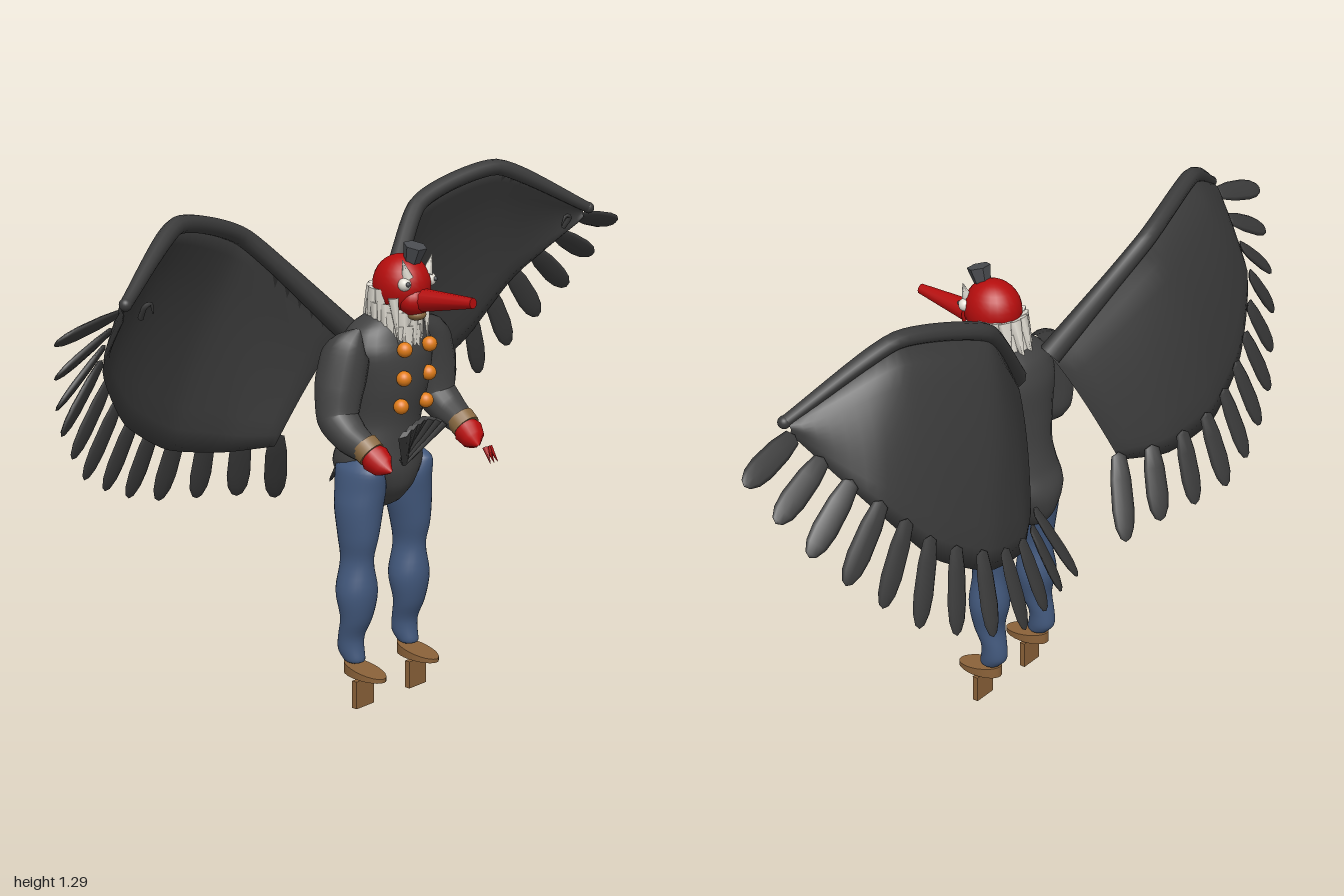
import * as THREE from 'three';

const V = (x, y, z) => new THREE.Vector3(x, y, z);
const mat = (name, color, side = THREE.FrontSide) => {
  const m = new THREE.MeshStandardMaterial({ color, side });
  m.name = name;
  return m;
};

// Closed surface through a list of vertex loops
function loft(rings, flip) {
  const n = rings[0].length, pos = [], idx = [];
  rings.forEach(r => r.forEach(p => pos.push(p.x, p.y, p.z)));
  for (let i = 0; i < rings.length - 1; i++) for (let j = 0; j < n; j++) {
    const a = i * n + j, b = i * n + (j + 1) % n, c = a + n, d = b + n;
    if (flip) idx.push(a, b, c, b, d, c); else idx.push(a, c, b, b, c, d);
  }
  const g = new THREE.BufferGeometry();
  g.setAttribute('position', new THREE.Float32BufferAttribute(pos, 3));
  g.setIndex(idx);
  g.computeVertexNormals();
  return g;
}

// Upright smooth body from sections [y, centre x, centre z, radius x, radius z]
function bodyShape(sections) {
  const mid = new THREE.CatmullRomCurve3(sections.map(s => V(s[1], s[0], s[2])));
  const rad = new THREE.CatmullRomCurve3(sections.map(s => V(s[3], 0, s[4])));
  const rings = [];
  for (let i = 0; i <= 48; i++) {
    const c = mid.getPoint(i / 48), r = rad.getPoint(i / 48), ring = [];
    for (let j = 0; j < 28; j++) {
      const a = j / 28 * Math.PI * 2;
      ring.push(V(c.x + Math.max(r.x, 0.001) * Math.cos(a), c.y, c.z + Math.max(r.z, 0.001) * Math.sin(a)));
    }
    rings.push(ring);
  }
  return loft(rings);
}

// Tube whose radius follows a list of values
function taperTube(curve, radii, seg = 32, sides = 16) {
  const g = new THREE.TubeGeometry(curve, seg, 1, sides);
  const p = g.attributes.position, v = V();
  for (let i = 0; i <= seg; i++) {
    const c = curve.getPointAt(i / seg), f = i / seg * (radii.length - 1);
    const k = Math.min(Math.floor(f), radii.length - 2);
    const r = THREE.MathUtils.lerp(radii[k], radii[k + 1], f - k);
    for (let j = 0; j <= sides; j++) {
      const q = i * (sides + 1) + j;
      v.fromBufferAttribute(p, q).sub(c).multiplyScalar(r).add(c);
      p.setXYZ(q, v.x, v.y, v.z);
    }
  }
  return g;
}

export function createModel() {
  const root = new THREE.Group();
  const suit = mat('charcoal cloth', 0x424242), plume = mat('wing charcoal', 0x3b3b3b, THREE.DoubleSide);
  const red = mat('red skin', 0xb50d0d), blue = mat('blue trousers', 0x42587c);
  const wood = mat('brown wood', 0x8b6239), orange = mat('orange button', 0xe07c18);
  const white = mat('white hair', 0xe2ded4), tan = mat('tan cuff', 0x8a6a42), slate = mat('slate hat', 0x4a4c50);
  const add = (name, geo, m, pos, parent = root) => {
    const o = new THREE.Mesh(geo, m);
    o.name = name;
    if (pos) o.position.copy(pos);
    parent.add(o);
    return o;
  };
  const ball = (name, r, m, pos, sx = 1, sy = 1, sz = 1) =>
    add(name, new THREE.SphereGeometry(r, 24, 16), m, pos).scale.set(sx, sy, sz);
  // Cone or cylinder running from a to b
  const rod = (name, a, b, r0, r1, m, sides = 12) => {
    const o = add(name, new THREE.CylinderGeometry(r1, r0, a.distanceTo(b), sides), m, a.clone().lerp(b, 0.5));
    o.quaternion.setFromUnitVectors(V(0, 1, 0), b.clone().sub(a).normalize());
    return o;
  };

  add('torso', bodyShape([[0.487, 0.02, 0, 0.004, 0.004], [0.52, 0.015, 0, 0.072, 0.045], [0.565, 0.018, 0, 0.102, 0.084],
    [0.62, 0.021, 0, 0.108, 0.116], [0.67, 0.03, 0, 0.097, 0.11], [0.73, 0.037, 0, 0.093, 0.1],
    [0.82, 0.048, 0, 0.1, 0.115], [0.9, 0.05, 0, 0.1, 0.13], [0.96, 0.05, 0, 0.08, 0.11],
    [1.0, 0.06, 0, 0.04, 0.05], [1.01, 0.06, 0, 0.002, 0.002]]), suit);

  const legSections = [[0.105, 0.035, 0.1, 0.004, 0.004], [0.115, 0.035, 0.1, 0.028, 0.024], [0.14, 0.024, 0.1, 0.036, 0.03],
    [0.175, 0.024, 0.1, 0.034, 0.032], [0.23, 0.04, 0.098, 0.04, 0.042], [0.3, 0.04, 0.097, 0.053, 0.053],
    [0.38, 0.041, 0.097, 0.046, 0.037], [0.44, 0.044, 0.096, 0.056, 0.045], [0.52, 0.041, 0.09, 0.067, 0.055],
    [0.57, 0.042, 0.085, 0.072, 0.053], [0.615, 0.044, 0.09, 0.072, 0.039], [0.64, 0.044, 0.085, 0.035, 0.025]];
  // Oval wedge sole, thinner towards the toe
  const soleGeo = new THREE.CylinderGeometry(1, 1, 1, 24).scale(0.065, 1, 0.035);
  const solePos = soleGeo.attributes.position;
  for (let i = 0; i < solePos.count; i++) {
    const x = solePos.getX(i), toe = (x + 0.065) / 0.13;
    solePos.setY(i, solePos.getY(i) > 0 ? 0.112 - 0.024 * toe : 0.082 - 0.004 * toe);
  }

  // One feather of unit length
  const featherGeo = new THREE.LatheGeometry([[0, 0], [0.02, 0.05], [0.028, 0.3], [0.03, 0.65], [0.025, 0.84], [0.014, 0.96], [0, 1]]
    .map(p => new THREE.Vector2(...p)), 8);

  for (const s of [1, -1]) {
    const side = s > 0 ? 'left' : 'right';
    const path = pts => new THREE.CatmullRomCurve3(pts.map(p => V(p[0], p[1], p[2] * s)), false, 'catmullrom', 0.3);

    add(side + 'Leg', bodyShape(legSections.map(([y, x, z, a, b]) => [y, x, z * s, a, b])), blue);
    add(side + 'SandalSole', soleGeo, wood, V(0.07, 0, 0.099 * s));
    add(side + 'SandalTooth', new THREE.BoxGeometry(0.015, 0.072, 0.064), wood, V(0.063, 0.036, 0.099 * s));

    // Arm, cuff and hand
    add(side + 'Arm', taperTube(path([[0.05, 0.96, 0.1], [0.052, 0.92, 0.143], [0.05, 0.83, 0.168],
      [0.055, 0.76, 0.178], [0.1, 0.72, 0.18], [0.15, 0.695, 0.175]]), [0.01, 0.06, 0.062, 0.054, 0.046, 0.034]), suit);
    rod(side + 'Cuff', V(0.138, 0.705, 0.176 * s), V(0.162, 0.687, 0.174 * s), 0.037, 0.036, tan, 16);
    add(side + 'Hand', taperTube(path([[0.15, 0.695, 0.174], [0.175, 0.675, 0.17], [0.195, 0.66, 0.165], [0.214, 0.65, 0.16]]),
      [0.026, 0.037, 0.03, 0.003], 12), red);

    for (const [x, y] of [[0.151, 0.92], [0.149, 0.848], [0.14, 0.777]]) ball('coatButton', 0.019, orange, V(x, y, 0.045 * s));

    // Wing sheet between leading and trailing edges, bowed backwards
    const lead = path([[-0.02, 0.95, 0.07], [-0.125, 1.195, 0.31], [-0.08, 1.265, 0.57], [0.025, 1.137, 0.825]]);
    const trail = path([[-0.155, 0.65, 0.185], [-0.225, 0.645, 0.3], [-0.25, 0.68, 0.46], [-0.22, 0.78, 0.62],
      [-0.155, 0.94, 0.74], [0.015, 1.11, 0.82]]);
    const wingPoint = (u, v) => {
      const p = lead.getPoint(u).lerp(trail.getPoint(u), v);
      p.x -= 0.028 * Math.sin(Math.PI * Math.pow(v, 0.75)) * Math.sin(Math.PI * (0.15 + 0.7 * u));
      return p;
    };
    const rings = [], U = 30, W = 10;
    for (let i = 0; i <= U; i++) {
      const ring = [];
      for (let j = 0; j < 2 * W; j++) {
        const half = (j === 0 || j === W || i === 0 || i === U) ? 0 : j < W ? 0.009 : -0.009;
        const p = wingPoint(i / U, (j <= W ? j : 2 * W - j) / W);
        p.x += half;
        ring.push(p);
      }
      rings.push(ring);
    }
    add(side + 'WingSheet', loft(rings, s < 0), plume);
    add(side + 'WingBone', taperTube(lead, [0.03, 0.024, 0.022, 0.021, 0.014], 40, 10), plume);
    ball(side + 'WingTip', 0.015, plume, lead.getPoint(1));
    add(side + 'WingClaw', taperTube(path([[-0.005, 1.09, 0.755], [0.015, 1.12, 0.76], [0.015, 1.125, 0.74], [0.01, 1.1, 0.73]]),
      [0.007, 0.006, 0.002], 10, 6), plume);

    // Flight feathers behind the trailing edge, the innermost turned in behind the back
    const tips = path([[-0.24, 0.482, 0.1], [-0.28, 0.51, 0.24], [-0.325, 0.52, 0.39], [-0.315, 0.56, 0.53],
      [-0.26, 0.65, 0.71], [-0.16, 0.82, 0.87], [-0.09, 0.93, 0.94], [-0.015, 1.07, 1.0]]);
    for (let i = 0; i < 12; i++) {
      const u = i / 11, tip = tips.getPointAt(u), t = trail.getUtoTmapping(u);
      const base = wingPoint(t, 0.9);
      base.x -= 0.014;
      const dir = tip.clone().sub(base), len = dir.length();
      dir.normalize();
      const n = trail.getTangent(t).cross(dir).normalize();
      const f = add(side + 'Feather', featherGeo, plume, base);
      f.quaternion.setFromRotationMatrix(new THREE.Matrix4().makeBasis(dir.clone().cross(n), dir, n));
      f.scale.set(1, len, 0.28);
    }

    // Eye, brow tuft and whisker
    ball(side + 'Eye', 0.016, white, V(0.15, 1.08, 0.046 * s));
    ball(side + 'Pupil', 0.006, slate, V(0.164, 1.082, 0.049 * s));
    rod(side + 'Brow', V(0.15, 1.095, 0.035 * s), V(0.15, 1.14, 0.053 * s), 0.014, 0.001, white, 6);
    rod(side + 'Whisker', V(0.125, 1.045, 0.058 * s), V(0.138, 0.93, 0.052 * s), 0.014, 0.001, white, 6);
  }

  // Head, long nose and mouth
  ball('head', 0.075, red, V(0.1, 1.068, 0), 1, 1, 0.9);
  ball('cheeks', 0.043, red, V(0.143, 1.037, 0), 0.95, 0.95, 1.1);
  rod('nose', V(0.15, 1.036, 0), V(0.327, 1.053, 0), 0.031, 0.013, red, 10);
  ball('mouth', 0.024, tan, V(0.148, 1.0, 0), 1, 0.6, 1);

  // White mane with hanging locks that flare out at the nape
  ball('mane', 0.07, white, V(0.078, 1.0, 0), 0.95, 0.95, 0.9);
  for (let row = 0; row < 2; row++) for (let i = 0; i < 13; i++) {
    const a = (i + row / 2) / 13 * Math.PI * 2, c = Math.cos(a), d = Math.sin(a);
    const top = 1.06 - 0.035 * row - (c > 0.4 ? 0.055 : 0);
    const flare = c < 0 ? 0.09 : 0.066;
    rod('hairLock', V(0.078 + 0.05 * c, top, 0.05 * d), V(0.076 + flare * c, top - 0.105, 0.066 * d), 0.022, 0.001, white, 6);
  }

  // Small faceted hat tipped forward
  const hat = rod('hat', V(0.131, 1.125, 0), V(0.143, 1.168, 0), 0.02, 0.03, slate, 6);
  hat.geometry = hat.geometry.toNonIndexed();
  hat.geometry.computeVertexNormals();

  // Pleated fan by the left hand
  const fan = new THREE.Group();
  fan.name = 'fan';
  fan.position.set(0.23, 0.68, 0.145);
  fan.rotation.z = -0.56;
  root.add(fan);
  const bladeGeo = new THREE.CylinderGeometry(0.02, 0.008, 0.138, 4).scale(0.4, 1, 1).translate(0, 0.069, 0);
  for (let i = -3; i <= 3; i++) {
    const blade = add('fanBlade', bladeGeo, suit, V(0.005 * Math.abs(i), 0, 0), fan);
    blade.rotation.x = i * 0.18;
  }

  // Small red talons below the right hand
  for (let i = -1; i <= 1; i++)
    rod('talon', V(0.238, 0.652, -0.165 + 0.008 * i), V(0.26, 0.616, -0.165 + 0.014 * i), 0.008, 0.001, red, 5);

  return root;
}
